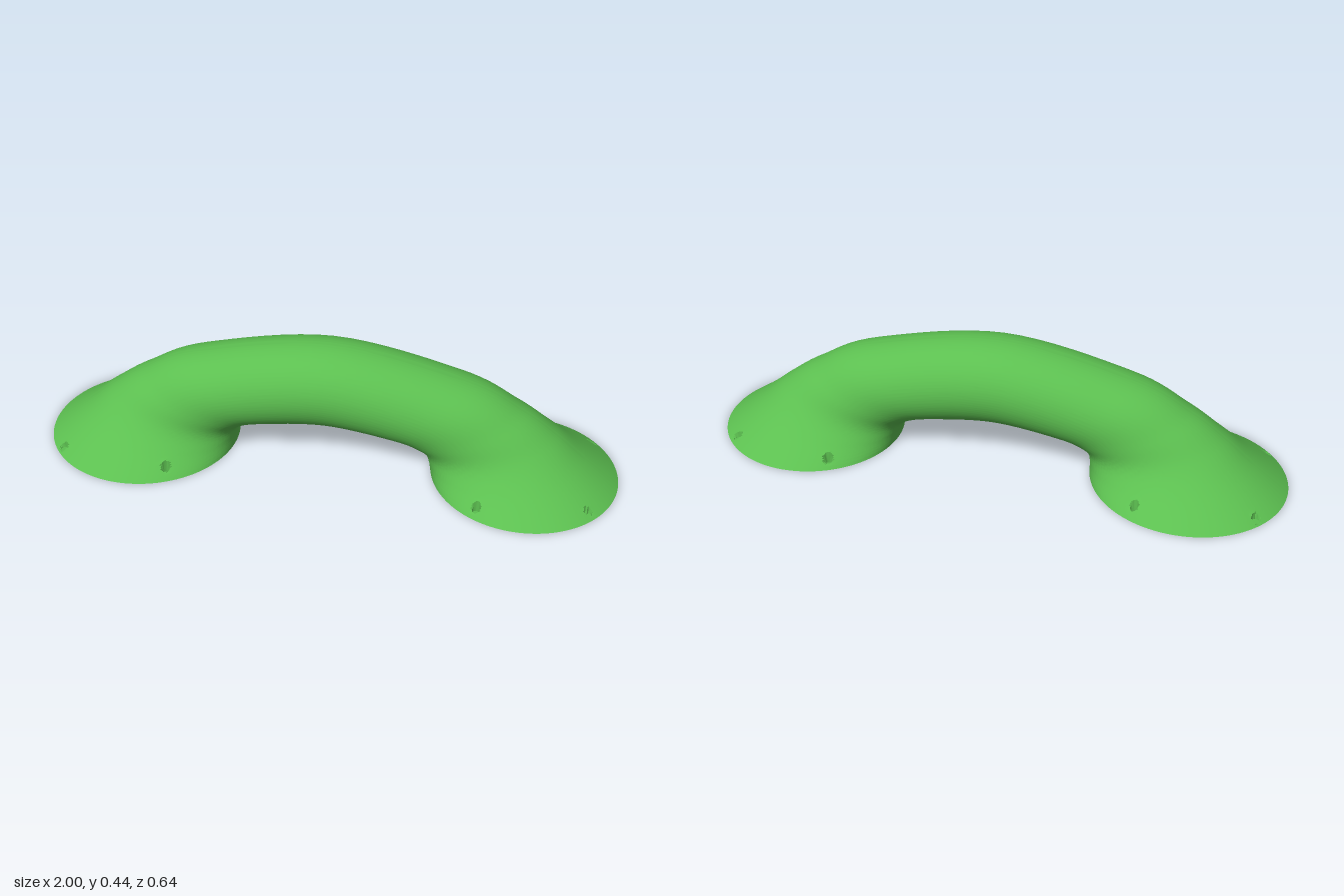
import * as THREE from 'three';
import { toCreasedNormals } from 'three/addons/utils/BufferGeometryUtils.js';

// Half of the grip, foot to crown: outer x, y, inner x, y, half width in z
const STATIONS = [
  [1.0, 0, 0.36, 0, 0.31],
  [0.87, 0.1, 0.35, 0.04, 0.225],
  [0.775, 0.18, 0.33, 0.075, 0.174],
  [0.66, 0.261, 0.285, 0.1, 0.157],
  [0.46, 0.359, 0.2, 0.119, 0.153],
  [0, 0.445, 0, 0.14, 0.153],
];
const SIDES = 288;      // points around each cross-section
const HOLE_R = 0.014;
const HOLES = [[0.54, 0.247], [0.903, 0.187], [-0.52, 0.247], [-0.908, 0.188]]
  .flatMap(([x, z]) => [[x, z], [x, -z]]);

// The foot on the -x side is slightly larger
const left = STATIONS.slice(0, 5).reverse().map(([ox, oy, ix, iy, w], i) => {
  const grow = i / 4;
  return [-ox, oy, -ix + 0.03 * grow, iy, w + 0.01 * grow ** 3];
});
const ALL = [...STATIONS, ...left];

function spline(pick) {
  return new THREE.CatmullRomCurve3(ALL.map(pick), false, 'catmullrom', 0.5);
}

// Sinks a screw hole: inner vertices drop, nearby ones form a round rim
function drill(p) {
  for (const [hx, hz] of HOLES) {
    const dx = p.x - hx, dz = p.z - hz;
    const d = Math.hypot(dx, dz);
    if (d > HOLE_R * 1.25 || p.y > 0.12) continue;
    if (d >= HOLE_R) {
      p.x = hx + dx * HOLE_R / d;
      p.z = hz + dz * HOLE_R / d;
    } else {
      const s = d > HOLE_R * 0.55 ? HOLE_R * 0.96 / d : 1;
      p.set(hx + dx * s, 0.002, hz + dz * s);
    }
  }
}

function gripGeometry() {
  const outer = spline(s => new THREE.Vector3(s[0], s[1], s[4]));
  const inner = spline(s => new THREE.Vector3(s[2], s[3], 0));

  // Fine rows on the flanges, coarser ones along the arch
  const spans = ALL.length - 1;
  const ts = [0];
  for (let s = 0; s < spans; s++) {
    const n = s === 0 || s === spans - 1 ? 24 : 8;
    for (let k = 1; k <= n; k++) ts.push((s + k / n) / spans);
  }

  // Elliptical cross-sections spanning the inner and outer profiles
  const pos = [], index = [];
  const last = ts.length - 1;
  ts.forEach((t, i) => {
    const o = outer.getPoint(t), n = inner.getPoint(t);
    for (let j = 0; j < SIDES; j++) {
      const a = j / SIDES * Math.PI * 2;
      const k = (1 + Math.cos(a)) / 2;
      const p = new THREE.Vector3(
        n.x + (o.x - n.x) * k, n.y + (o.y - n.y) * k, Math.sin(a) * o.z);
      if (i > 0 && i < last) drill(p);
      pos.push(p.x, Math.max(0, p.y), p.z);
      if (i < last) {
        const q = i * SIDES + j, r = i * SIDES + (j + 1) % SIDES;
        index.push(q, q + SIDES, r, r, q + SIDES, r + SIDES);
      }
    }
  });

  // Flat undersides of both feet
  for (const row of [0, last]) {
    const c = pos.length / 3;
    const s = ALL[row ? ALL.length - 1 : 0];
    pos.push((s[0] + s[2]) / 2, 0, 0);
    for (let j = 0; j < SIDES; j++) {
      const q = row * SIDES + j, r = row * SIDES + (j + 1) % SIDES;
      if (row) index.push(c, r, q);
      else index.push(c, q, r);
    }
  }

  const geo = new THREE.BufferGeometry();
  geo.setAttribute('position', new THREE.Float32BufferAttribute(pos, 3));
  geo.setIndex(index);
  return toCreasedNormals(geo, 0.6);
}

export function createModel() {
  const group = new THREE.Group();
  group.name = 'pullHandle';
  const green = new THREE.MeshStandardMaterial({ color: 0x5cbf50 });
  const grip = new THREE.Mesh(gripGeometry(), green);
  grip.name = 'archedGripWithFeet';
  group.add(grip);
  return group;
}
